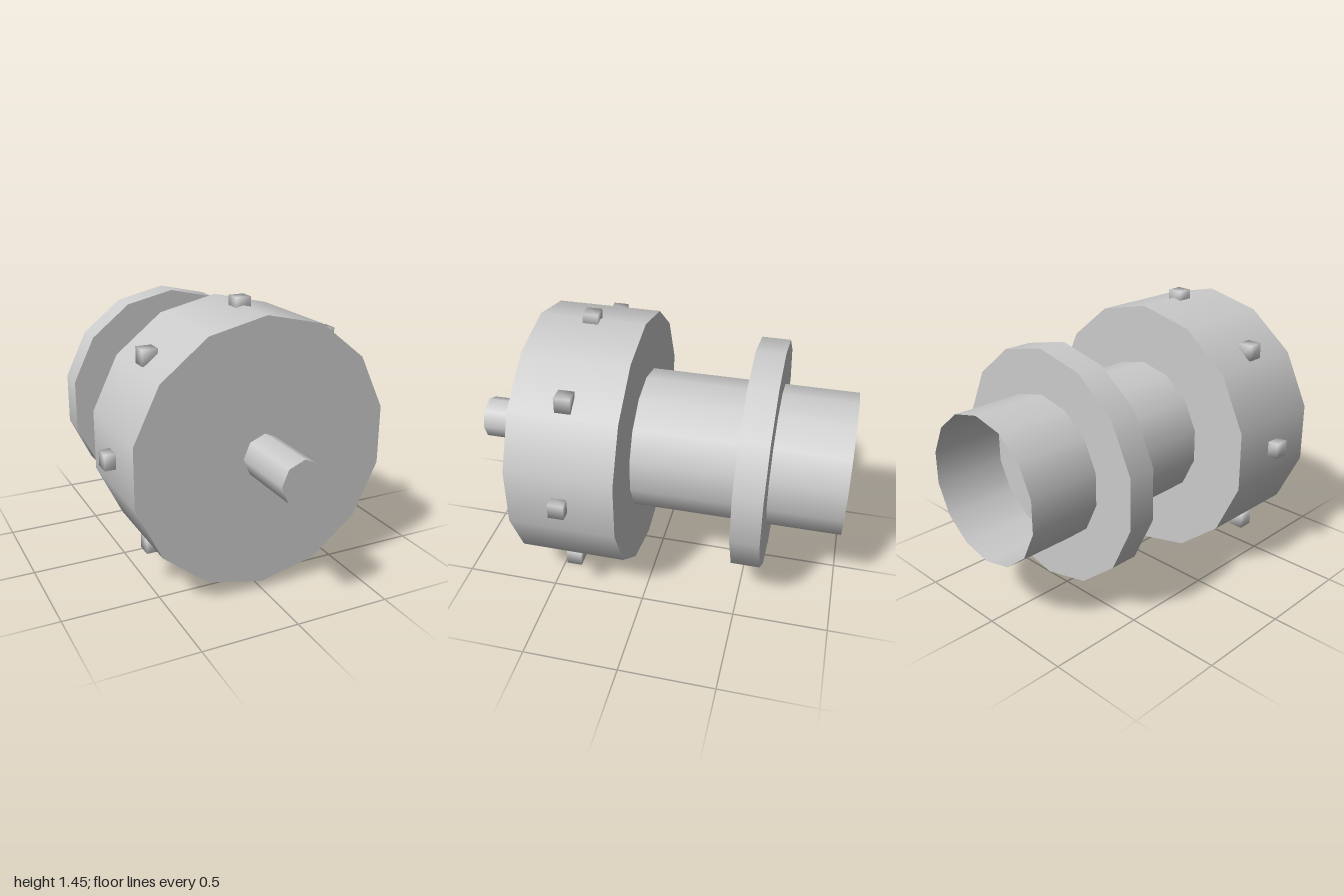
import * as THREE from 'three';
import { mergeVertices } from 'three/addons/utils/BufferGeometryUtils.js';

const AXIS_Y = 0.726;
const DRUM_R = 0.683;

export function createModel() {
  const group = new THREE.Group();
  const solid = new THREE.MeshStandardMaterial({ color: 0xcccccc });
  const open = new THREE.MeshStandardMaterial({ color: 0xcccccc, side: THREE.DoubleSide });

  // Cylinder lying along z between two depths
  function barrel(name, radius, sides, z0, z1, isOpen = false) {
    const geometry = new THREE.CylinderGeometry(radius, radius, z1 - z0, sides, 1, isOpen);
    geometry.rotateX(Math.PI / 2);
    const mesh = new THREE.Mesh(geometry, isOpen ? open : solid);
    mesh.name = name;
    mesh.position.set(0, AXIS_Y, (z0 + z1) / 2);
    group.add(mesh);
  }

  barrel('shaft', 0.113, 8, 0.64, 1);
  barrel('drum', DRUM_R, 14, 0.09, 0.643);
  barrel('flange', 0.607, 14, -0.617, -0.468);
  // Thin sleeve, open at the back and closed inside by the flange
  barrel('sleeve', 0.377, 14, -1, 0.09, true);

  // Ring of softly shaded cube studs, all kept square to the axes
  const box = new THREE.BoxGeometry(0.08, 0.08, 0.08);
  box.deleteAttribute('normal');
  box.deleteAttribute('uv');
  const studGeometry = mergeVertices(box);
  studGeometry.computeVertexNormals();

  const studs = new THREE.Group();
  studs.name = 'studs';
  for (let i = 0; i < 8; i++) {
    const angle = (i * Math.PI) / 4;
    const stud = new THREE.Mesh(studGeometry, solid);
    stud.name = 'stud';
    stud.position.set(DRUM_R * Math.cos(angle), AXIS_Y + DRUM_R * Math.sin(angle), 0.367);
    studs.add(stud);
  }
  group.add(studs);

  return group;
}
